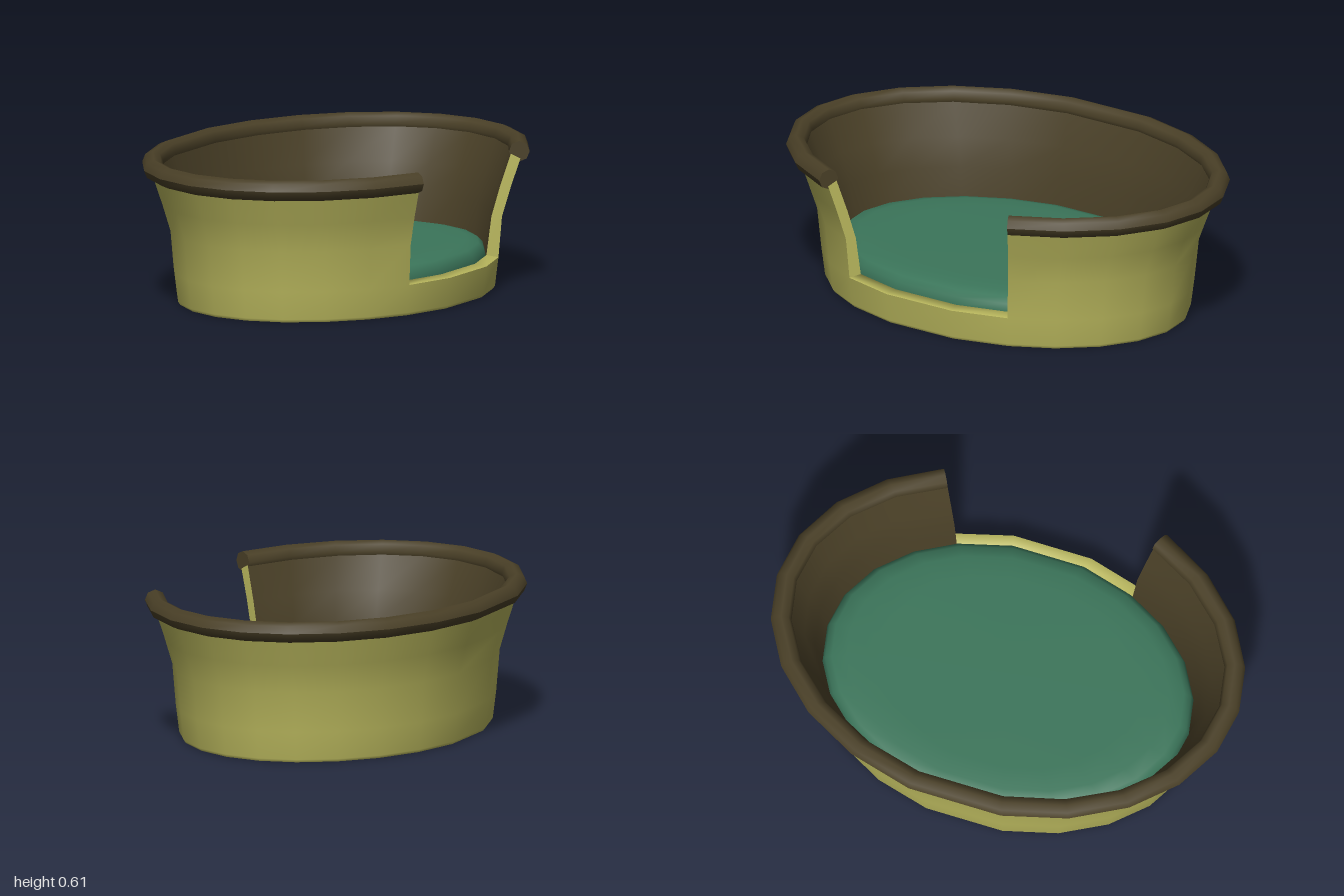
import * as THREE from 'three';

const CX = 0.034; // centre of the oval
const GAP = 29;   // half angle of the doorway, in degrees
const half = [GAP, 44, 59.5, 75, 90, 105, 120.5, 136, 152, 168.5];
const OPEN = [...half, ...half.slice().reverse().map(a => 360 - a)];
const FULL = [...OPEN, 348.5, 371.5];
const DOOR = [-GAP, -11.5, 11.5, GAP];

// Profiles: [x radius, z radius, height]
const outer = [
  [0.602, 0.818, 0], [0.61, 0.826, 0.012], [0.624, 0.842, 0.13],
  [0.637, 0.862, 0.3], [0.67, 0.908, 0.42], [0.708, 0.955, 0.54],
];
const inner = [
  [0.57, 0.778, 0.08], [0.572, 0.78, 0.11], [0.576, 0.786, 0.14],
  [0.594, 0.815, 0.3], [0.625, 0.86, 0.42], [0.668, 0.92, 0.56],
];
const RIM = { rx: 0.702, rz: 0.957, y: 0.57, r: 0.043 };

function onOval([rx, rz, y], deg) {
  const a = THREE.MathUtils.degToRad(deg);
  return [CX + rx * Math.cos(a), y, rz * Math.sin(a)];
}

// Sweeps a profile around the oval; skip(i, j) leaves out faces
function sweep(profile, angles, closed, skip = () => false) {
  const pos = [], index = [], n = profile.length, m = angles.length;
  for (const a of angles) for (const p of profile) pos.push(...onOval(p, a));
  for (let i = 0; i < (closed ? m : m - 1); i++) {
    for (let j = 0; j < n - 1; j++) {
      if (skip(i, j)) continue;
      const a = i * n + j, b = ((i + 1) % m) * n + j;
      index.push(a, a + 1, b, b, a + 1, b + 1);
    }
  }
  const g = new THREE.BufferGeometry();
  g.setAttribute('position', new THREE.Float32BufferAttribute(pos, 3));
  g.setIndex(index);
  g.computeVertexNormals();
  return g;
}

// Flat strip closing the wall thickness at one side of the doorway
function wallEnd(deg) {
  const pos = [], index = [];
  for (let j = 2; j < outer.length; j++) {
    pos.push(...onOval(outer[j], deg), ...onOval(inner[j], deg));
    const k = (j - 2) * 2;
    if (j > 2) index.push(k - 2, k - 1, k, k, k - 1, k + 1);
  }
  const g = new THREE.BufferGeometry();
  g.setAttribute('position', new THREE.Float32BufferAttribute(pos, 3));
  g.setIndex(index);
  g.computeVertexNormals();
  return g;
}

export function createModel() {
  const group = new THREE.Group();
  group.name = 'petBed';
  const mat = (name, color) => {
    const m = new THREE.MeshStandardMaterial({ color, side: THREE.DoubleSide });
    m.name = name;
    return m;
  };
  const straw = mat('straw yellow', 0xb9b75d);
  const brown = mat('dark brown', 0x4a4027);
  const teal = mat('teal green', 0x3b755a);
  const add = (name, geometry, material) => {
    const mesh = new THREE.Mesh(geometry, material);
    mesh.name = name;
    group.add(mesh);
    return mesh;
  };

  // Outer wall, with the doorway left open above the lip
  const isDoor = (i, j) => i >= OPEN.length - 1 && j >= 2;
  add('outerWall', sweep(outer, FULL, true, isDoor), straw);
  add('base', sweep([[0, 0, 0], outer[0]], FULL, true), straw);

  // Lining
  add('innerWall', sweep(inner.slice().reverse(), OPEN, false), brown);

  // Doorway: lip and cut ends of the wall
  add('doorLip', sweep([outer[2], inner[2], inner[0]], DOOR, false), straw);
  for (const s of [1, -1]) add('wallEnd', wallEnd(s * GAP), straw);

  // Padded rim with capped ends
  const ring = [];
  for (let k = 0; k <= 8; k++) {
    const a = (k % 8) * Math.PI / 4;
    const c = RIM.r * Math.cos(a);
    ring.push([RIM.rx + c, RIM.rz + c, RIM.y + RIM.r * Math.sin(a)]);
  }
  add('rim', sweep(ring, OPEN, false), brown);
  for (const s of [1, -1]) {
    const cap = add('rimEnd', new THREE.CircleGeometry(RIM.r, 8), brown);
    cap.position.set(...onOval([RIM.rx, RIM.rz, RIM.y], s * GAP));
    cap.rotation.y = -s * THREE.MathUtils.degToRad(GAP);
  }

  // Cushion with a softly rounded edge
  const cushion = [
    [1, 0.11], [0.998, 0.14], [0.985, 0.17], [0.95, 0.193], [0.87, 0.206], [0.7, 0.21], [0, 0.212],
  ].map(([s, y]) => [0.574 * s, 0.783 * s, y]);
  add('cushion', sweep(cushion, FULL, true), teal);

  return group;
}
